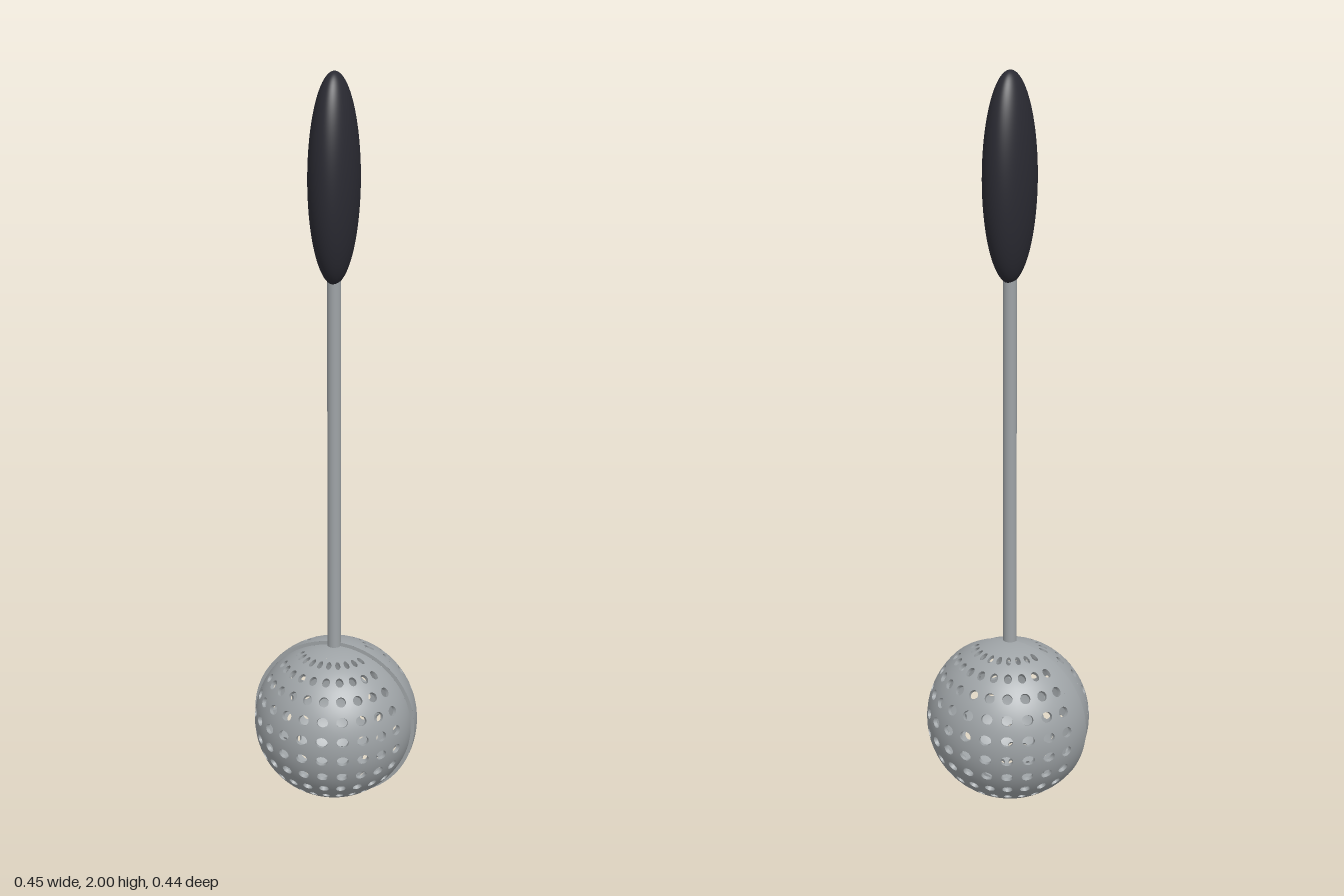
import * as THREE from 'three';

const RAD = Math.PI / 180;
const CENTER = new THREE.Vector3(0, 0.225, 0.0025);
const HOLES = 10;                 // holes per row and rows per half
const CELL_U = 15, CELL_V = 130 / 9; // cell size in degrees of longitude and latitude
const HOLE_U = 4.3, HOLE_V = 3.55;   // hole half-sizes in degrees
const SIDES = 24;

// Direction on the unit sphere, longitude 0 facing +z
function dir([u, v]) {
  const c = Math.cos(v * RAD);
  return new THREE.Vector3(c * Math.sin(u * RAD), Math.sin(v * RAD), c * Math.cos(u * RAD));
}

// Perforated half shell with wall thickness, facing +z
function halfShell(outer, inner) {
  const pos = [], nor = [];
  const tri = (verts) => verts.forEach(([p, n]) => {
    pos.push(p.x, p.y, p.z);
    nor.push(n.x, n.y, n.z);
  });
  const quad = (a, b, c, d) => { tri([a, b, c]); tri([a, c, d]); };

  // One surface quad on the outside and its mirror on the inside
  const skin = (...corners) => {
    const d = corners.map(dir);
    quad(...d.map((n) => [n.clone().multiplyScalar(outer), n]));
    quad(...d.map((n) => [n.clone().multiplyScalar(inner), n.clone().negate()]).reverse());
  };

  // Plain patch without holes
  const plain = (u0, u1, v0, v1, nu, nv) => {
    const U = (i) => u0 + (u1 - u0) * i / nu, V = (j) => v0 + (v1 - v0) * j / nv;
    for (let i = 0; i < nu; i++) for (let j = 0; j < nv; j++) {
      skin([U(i), V(j)], [U(i + 1), V(j)], [U(i + 1), V(j + 1)], [U(i), V(j + 1)]);
    }
  };

  // Rectangular cell with a round hole through it
  const cell = (u, v) => {
    const mid = dir([u, v]);
    const hole = [], edge = [];
    for (let k = 0; k <= SIDES; k++) {
      const a = k / SIDES * Math.PI * 2, c = Math.cos(a), s = Math.sin(a);
      const m = Math.max(Math.abs(c), Math.abs(s));
      hole.push([u + HOLE_U * c, v + HOLE_V * s]);
      edge.push([u + CELL_U / 2 * c / m, v + CELL_V / 2 * s / m]);
    }
    for (let k = 0; k < SIDES; k++) {
      skin(hole[k], edge[k], edge[k + 1], hole[k + 1]);
      const a = dir(hole[k]), b = dir(hole[k + 1]);
      const na = mid.clone().sub(a).normalize(), nb = mid.clone().sub(b).normalize();
      quad([a.clone().multiplyScalar(outer), na], [b.clone().multiplyScalar(outer), nb],
        [b.clone().multiplyScalar(inner), nb], [a.clone().multiplyScalar(inner), na]);
    }
  };

  const eu = CELL_U * HOLES / 2, ev = CELL_V * HOLES / 2;
  for (let i = 0; i < HOLES; i++) for (let j = 0; j < HOLES; j++) {
    cell(-eu + CELL_U * (i + 0.5), -ev + CELL_V * (j + 0.5));
  }
  // Solid margins at the sides and poles
  plain(-90, -eu, -ev, ev, 4, 40);
  plain(eu, 90, -ev, ev, 4, 40);
  plain(-90, 90, ev, 90, 48, 5);
  plain(-90, 90, -90, -ev, 48, 5);

  const g = new THREE.BufferGeometry();
  g.setAttribute('position', new THREE.Float32BufferAttribute(pos, 3));
  g.setAttribute('normal', new THREE.Float32BufferAttribute(nor, 3));
  return g;
}

export function createModel() {
  const steel = new THREE.MeshStandardMaterial({ color: 0x9ea3a6 });
  const grip = new THREE.MeshStandardMaterial({ color: 0x2a2a32 });
  steel.name = 'steel';
  grip.name = 'darkGrip';

  const model = new THREE.Group();
  model.name = 'teaInfuser';
  const add = (parent, name, geometry, material) => {
    const mesh = new THREE.Mesh(geometry, material);
    mesh.name = name;
    parent.add(mesh);
    return mesh;
  };

  // Two nested half shells, the rear one slightly larger
  const half = (name, outer, inner, turn) => {
    const group = new THREE.Group();
    group.name = name;
    add(group, name + 'Wall', halfShell(outer, inner), steel);
    add(group, name + 'Rim', new THREE.RingGeometry(inner, outer, 96).rotateY(Math.PI), steel);
    group.position.copy(CENTER);
    group.rotation.y = turn;
    model.add(group);
  };
  half('frontShell', 0.215, 0.205, 0);
  half('rearShell', 0.225, 0.215, Math.PI);

  // Rod from the ball into the handle
  const rod = add(model, 'rod', new THREE.CylinderGeometry(0.018, 0.018, 1.04, 32), steel);
  rod.position.set(0, 0.96, CENTER.z);

  // Flattened oval handle
  const handle = add(model, 'handle', new THREE.SphereGeometry(1, 64, 48), grip);
  handle.scale.set(0.065, 0.276, 0.094);
  handle.position.set(0, 1.724, CENTER.z);

  return model;
}
